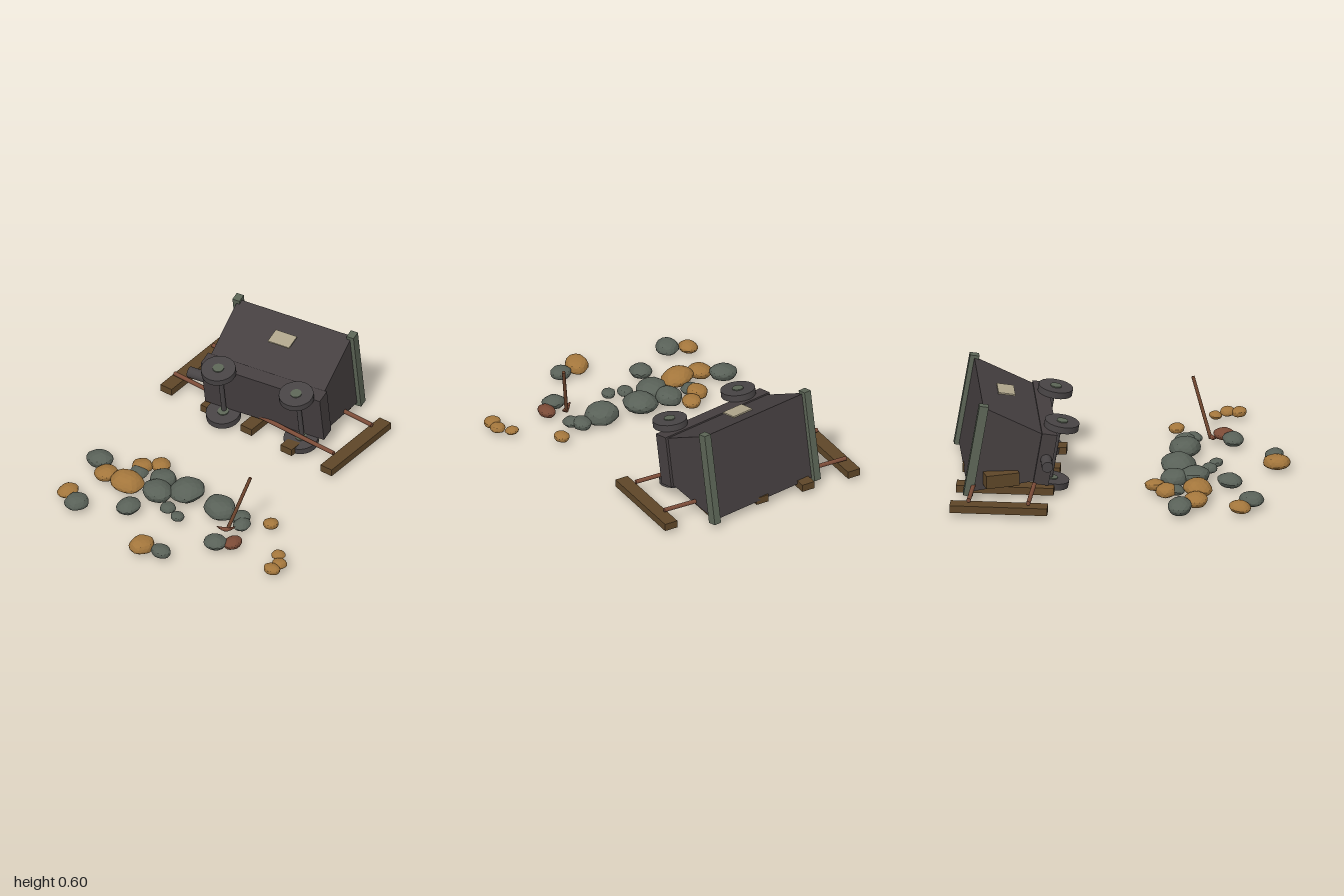
import * as THREE from 'three';

const mat = (name, color) => Object.assign(new THREE.MeshStandardMaterial({ color }), { name });

export function createModel() {
  const root = new THREE.Group();
  root.name = 'overturnedMineCart';
  const iron = mat('dark iron', 0x453f40);
  const wheelIron = mat('wheel iron', 0x484445);
  const trim = mat('grey green steel', 0x5c6556);
  const timber = mat('sleeper timber', 0x5e4628);
  const rust = mat('rusty rail', 0x7c4c38);
  const stone = mat('grey stone', 0x596158);
  const ore = mat('golden ore', 0xa3763c);
  const copper = mat('copper ore', 0x7a4a36);
  const label = mat('pale plate', 0xb0a68c);
  const wood = mat('handle wood', 0x70462e);
  stone.flatShading = ore.flatShading = copper.flatShading = true;

  const add = (parent, name, geo, material, x = 0, y = 0, z = 0) => {
    const m = new THREE.Mesh(geo, material);
    m.name = name;
    m.position.set(x, y, z);
    parent.add(m);
    return m;
  };
  const box = (w, h, d) => new THREE.BoxGeometry(w, h, d);

  // Track: five slightly skewed sleepers under two round rails
  const track = new THREE.Group();
  track.name = 'track';
  root.add(track);
  for (let i = 0; i < 5; i++) {
    add(track, 'sleeper', box(0.082, 0.045, 0.57), timber, -0.79 + i * 0.302, 0.052, -0.614).rotation.y = 0.04;
  }
  for (const z of [-0.79, -0.44]) {
    add(track, 'rail', new THREE.CylinderGeometry(0.013, 0.013, 1.2, 10), rust, -0.205, 0.097, z).rotation.z = Math.PI / 2;
  }
  // Timber chock wedged below the cart
  add(root, 'chock', box(0.085, 0.08, 0.2), timber, -0.56, 0.142, -0.63).rotation.y = 0.4;

  // Cart lying on its side; its origin is the middle of the tub's mouth
  const cart = new THREE.Group();
  cart.name = 'cart';
  cart.position.set(-0.205, 0.32, -0.85);
  cart.rotation.set(-1.405, 0.197, 0, 'YXZ');
  root.add(cart);

  const section = new THREE.Shape([[-0.27, 0], [-0.15, -0.37], [0.15, -0.37], [0.27, 0]]
    .map(p => new THREE.Vector2(...p)));
  const tub = new THREE.ExtrudeGeometry(section, { depth: 0.75, bevelEnabled: false });
  tub.translate(0, 0, -0.375).rotateY(Math.PI / 2);
  add(cart, 'tub', tub, iron);
  add(cart, 'chassis', box(0.785, 0.09, 0.32), iron, 0, -0.41, 0);
  add(cart, 'coupling', new THREE.CylinderGeometry(0.033, 0.033, 0.13, 16), wheelIron, -0.44, -0.415, 0).rotation.z = Math.PI / 2;
  add(cart, 'sidePlate', box(0.14, 0.1, 0.009), label, 0, -0.165, 0.245);

  for (const s of [-1, 1]) {
    add(cart, 'endRim', box(0.046, 0.055, 0.57), trim, s * 0.377, 0, 0);
    add(cart, 'axle', new THREE.CylinderGeometry(0.015, 0.015, 0.36, 10), wheelIron, s * 0.257, -0.475, 0).rotation.x = Math.PI / 2;
    for (const t of [-1, 1]) {
      add(cart, 'wheel', new THREE.CylinderGeometry(0.102, 0.102, 0.04, 24), wheelIron,
        s * 0.257, -0.487, t * 0.18).rotation.x = Math.PI / 2;
      add(cart, 'wheelHub', new THREE.CylinderGeometry(0.033, 0.033, 0.052, 16), trim,
        s * 0.257, -0.487, t * 0.18).rotation.x = Math.PI / 2;
    }
  }

  // Spilled rocks: x, z, radius along x, radius along z
  const rocks = (name, material, list) => list.forEach(([x, z, rx, rz], n) => {
    const geo = new THREE.IcosahedronGeometry(1, 2);
    const p = geo.attributes.position;
    const v = new THREE.Vector3();
    for (let i = 0; i < p.count; i++) {
      v.fromBufferAttribute(p, i);
      v.multiplyScalar(1 + 0.04 * Math.sin(4 * v.x + n) * Math.cos(5 * v.z - n) + 0.03 * Math.sin(6 * v.y + 2 * n));
      p.setXYZ(i, v.x, v.y, v.z);
    }
    geo.computeVertexNormals();
    const r = (rx + rz) / 2;
    const rock = add(root, name, geo, material, x, 0.035 + 0.35 * r, z);
    rock.scale.set(rx, r * 0.6, rz);
    rock.rotation.set(0.12 * Math.sin(n * 2), 0.2 * Math.sin(n), 0.12 * Math.cos(n * 3));
  });
  rocks('greyRock', stone, [
    [-0.65, 0.43, 0.085, 0.07], [-0.40, 0.375, 0.053, 0.053], [-0.245, 0.345, 0.08, 0.08],
    [-0.19, 0.46, 0.09, 0.088], [-0.06, 0.35, 0.103, 0.103], [0.195, 0.355, 0.103, 0.092],
    [0.335, 0.335, 0.057, 0.06], [0.38, 0.38, 0.048, 0.055], [-0.055, 0.53, 0.047, 0.047],
    [0.04, 0.557, 0.041, 0.041], [-0.235, 0.672, 0.065, 0.074], [-0.495, 0.832, 0.068, 0.075],
    [0.182, 0.88, 0.063, 0.055], [0.373, 0.614, 0.07, 0.062],
  ]);
  rocks('goldRock', ore, [
    [-0.537, 0.51, 0.07, 0.07], [-0.384, 0.503, 0.1, 0.085], [-0.42, 0.323, 0.063, 0.063],
    [-0.341, 0.245, 0.055, 0.06], [-0.605, 0.778, 0.056, 0.065], [0.062, 0.91, 0.068, 0.082],
    [0.505, 0.266, 0.047, 0.047], [0.727, 0.466, 0.041, 0.038], [0.786, 0.53, 0.046, 0.044],
    [0.786, 0.597, 0.052, 0.045],
  ]);
  rocks('copperRock', copper, [[0.452, 0.55, 0.05, 0.062]]);

  // Pick standing among the rocks
  const pick = new THREE.Group();
  pick.name = 'pick';
  root.add(pick);
  const handle = new THREE.LineCurve3(new THREE.Vector3(0.355, 0.06, 0.485), new THREE.Vector3(0.436, 0.415, 0.37));
  add(pick, 'pickHandle', new THREE.CylinderGeometry(0.01, 0.011, handle.getLength(), 10), wood,
    ...handle.getPoint(0.5).toArray()).quaternion.setFromUnitVectors(new THREE.Vector3(0, 1, 0), handle.getTangent(0));
  const head = new THREE.SphereGeometry(1, 14, 8);
  const hp = head.attributes.position;
  for (let i = 0; i < hp.count; i++) {
    // Taper to both points and droop them
    const x = hp.getX(i);
    const k = 1 - 0.4 * Math.abs(x);
    hp.setXYZ(i, x * 0.055, hp.getY(i) * 0.014 * k + 0.02 * x * x, hp.getZ(i) * 0.015 * k);
  }
  head.computeVertexNormals();
  add(pick, 'pickHead', head, copper, 0.353, 0.07, 0.492).rotation.y = 0.65;

  return root;
}
